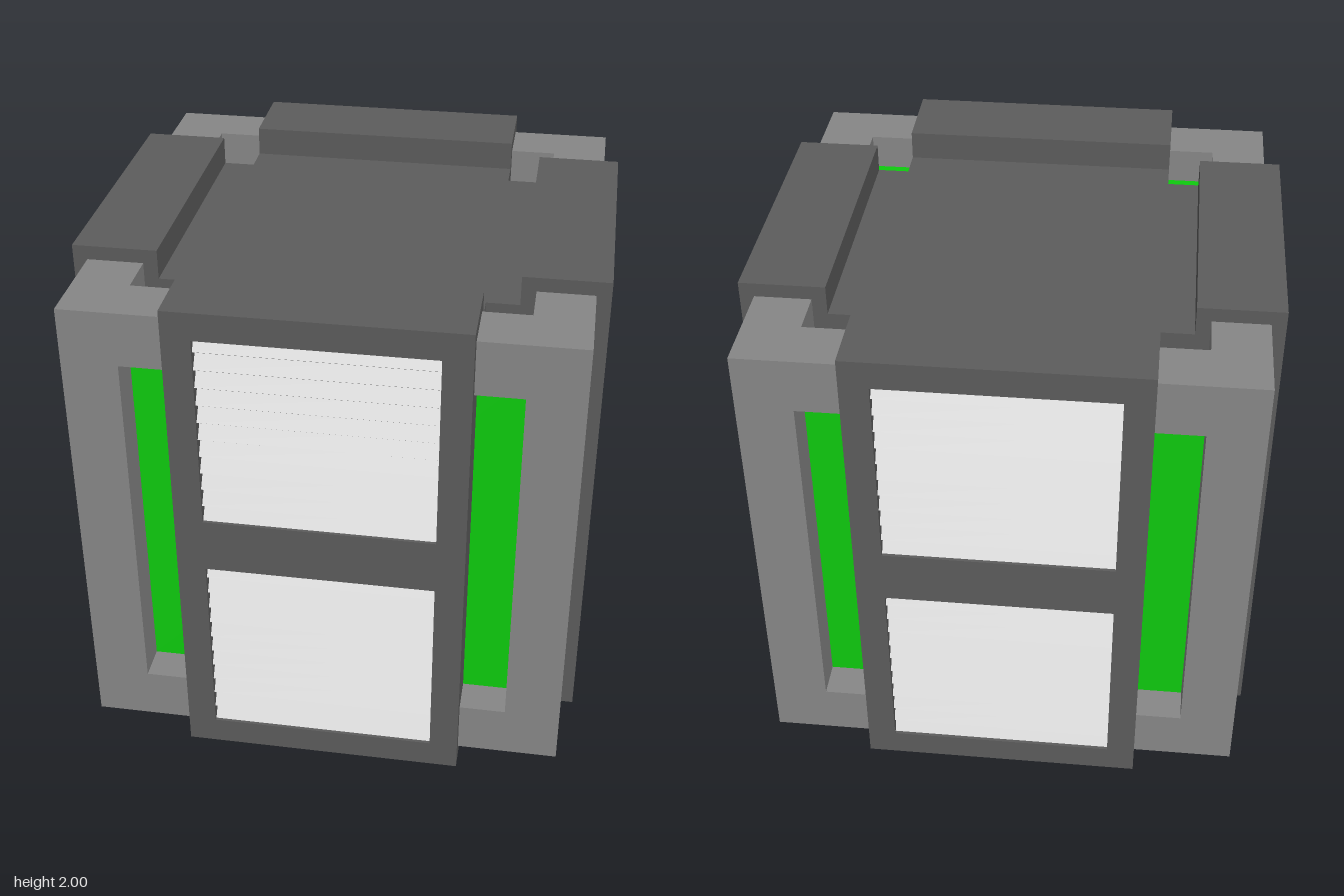
import * as THREE from 'three';

const mat = (name, color) => {
  const m = new THREE.MeshStandardMaterial({ color });
  m.name = name;
  return m;
};

export function createModel() {
  const dark = mat('dark grey', 0x5c5c5c);
  const mid = mat('mid grey', 0x878787);
  const light = mat('light grey', 0xd3d3d3);
  const green = mat('green', 0x0ecb0e);

  const model = new THREE.Group();
  model.name = 'ventedCube';

  // Box given by its minimum and maximum corners
  const box = (parent, name, material, min, max) => {
    const size = max.map((v, i) => v - min[i]);
    const mesh = new THREE.Mesh(new THREE.BoxGeometry(...size), material);
    mesh.position.set(...max.map((v, i) => (v + min[i]) / 2));
    mesh.name = name;
    parent.add(mesh);
    return mesh;
  };

  // Glowing core, and the cross-shaped body with recessed top and bottom
  box(model, 'glowingCore', green, [-0.805, 0.195, -0.805], [0.805, 1.805, 0.805]);
  box(model, 'bodyAcross', dark, [-0.7, 0.115, -0.55], [0.7, 1.885, 0.55]);
  box(model, 'bodyAlong', dark, [-0.55, 0.115, -0.7], [0.55, 1.885, 0.7]);

  // Frame outline with two vent openings
  const rect = (Type, x, y0, y1) => new Type([
    new THREE.Vector2(-x, y0), new THREE.Vector2(x, y0),
    new THREE.Vector2(x, y1), new THREE.Vector2(-x, y1),
  ]);
  const outline = rect(THREE.Shape, 0.55, 0, 2);
  outline.holes.push(rect(THREE.Path, 0.44, 0.11, 0.89), rect(THREE.Path, 0.44, 1.11, 1.89));
  const frameGeo = new THREE.ExtrudeGeometry(outline, { depth: 0.13, bevelEnabled: false });
  const slatGeo = new THREE.BoxGeometry(0.9, 0.1, 0.012);

  for (let side = 0; side < 4; side++) {
    // Vent panel on each side
    const panel = new THREE.Group();
    panel.name = 'ventPanel';
    panel.rotation.y = side * Math.PI / 2;
    model.add(panel);
    box(panel, 'panelBack', dark, [-0.55, 0, 0.675], [0.55, 2, 0.87]);
    const frame = new THREE.Mesh(frameGeo, dark);
    frame.name = 'panelFrame';
    frame.position.z = 0.87;
    panel.add(frame);

    // Louvre slats, lower edge outward
    for (const base of [0, 1]) {
      for (let i = 0; i < 11; i++) {
        const slat = new THREE.Mesh(slatGeo, light);
        slat.name = 'louvreSlat';
        slat.position.set(0, base + 0.878 - i * 0.0734, 0.957);
        slat.rotation.x = -0.6;
        panel.add(slat);
      }
    }

    // Corner bracket: a post with two arms at each end
    const corner = new THREE.Group();
    corner.name = 'cornerBracket';
    corner.rotation.y = side * Math.PI / 2;
    model.add(corner);
    box(corner, 'cornerPost', mid, [0.73, 0.06, 0.73], [0.945, 1.945, 0.945]);
    for (const [y0, y1] of [[0.06, 0.27], [1.73, 1.945]]) {
      box(corner, 'bracketArmX', mid, [0.5, y0, 0.73], [0.73, y1, 0.945]);
      box(corner, 'bracketArmZ', mid, [0.73, y0, 0.5], [0.945, y1, 0.73]);
    }
  }
  return model;
}
